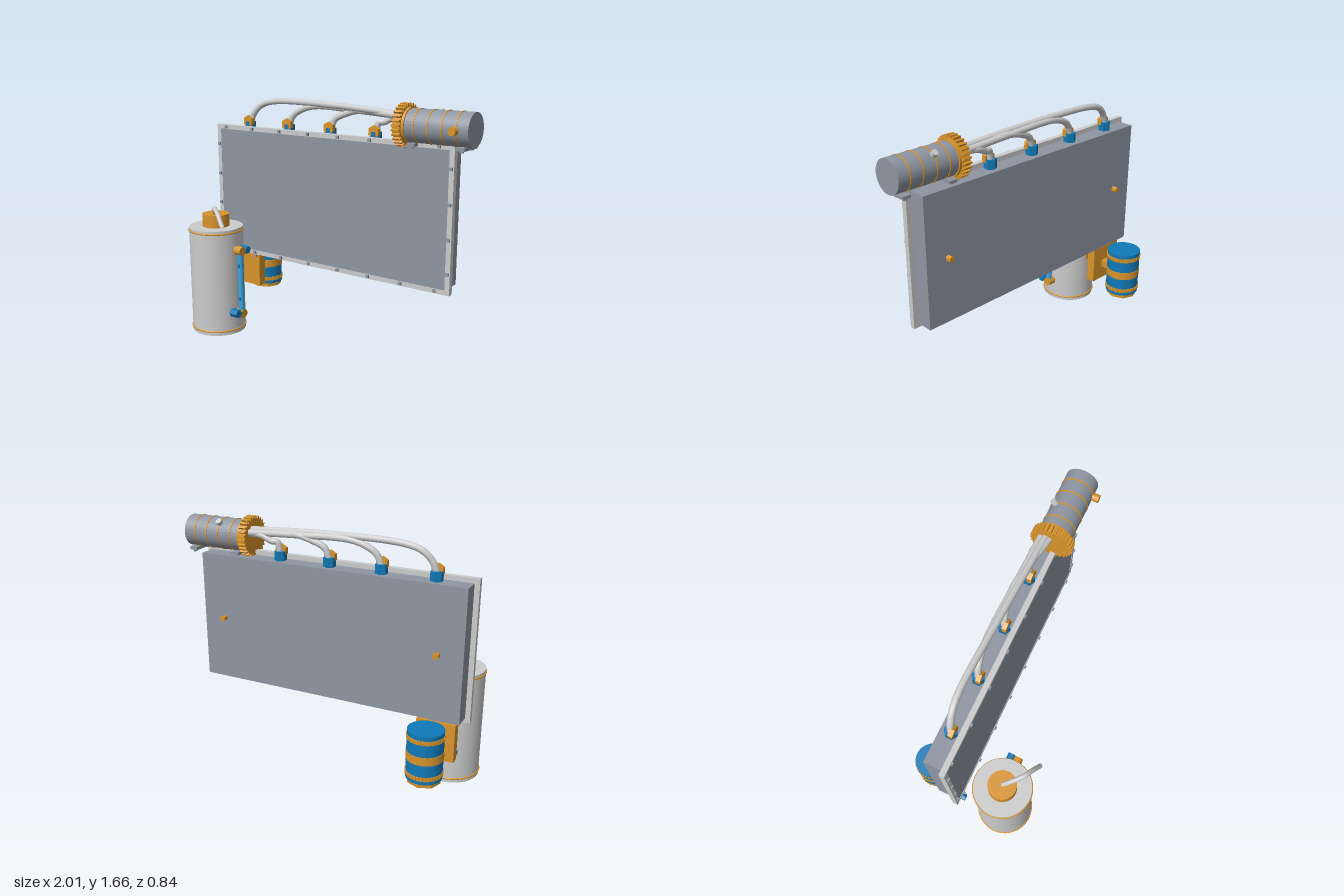
import * as THREE from 'three';

const mat = (color, extra = {}) => new THREE.MeshStandardMaterial({ color, ...extra });
const LIGHT = mat(0xcccccc), DARK = mat(0x8f96a2), ORANGE = mat(0xd8942c);
const BLUE = mat(0x107ab8), GLASS = mat(0x3ca6de), PIPE = mat(0xcccccc, { side: THREE.DoubleSide });

export function createModel() {
  const root = new THREE.Group();

  const add = (parent, name, geo, material, x = 0, y = 0, z = 0) => {
    const m = new THREE.Mesh(geo, material);
    m.name = name;
    m.position.set(x, y, z);
    parent.add(m);
    return m;
  };
  const box = (p, name, material, w, h, d, x, y, z) =>
    add(p, name, new THREE.BoxGeometry(w, h, d), material, x, y, z);
  // Cylinder along a chosen axis; six or eight sides become faceted prisms
  const cyl = (p, name, material, r, len, axis, x, y, z, sides = 40) => {
    const g = sides > 8 ? new THREE.CylinderGeometry(r, r, len, sides)
      : new THREE.CylinderGeometry(r, r, len, sides).toNonIndexed();
    if (sides <= 8) g.computeVertexNormals();
    if (axis === 'x') g.rotateZ(-Math.PI / 2);
    if (axis === 'z') g.rotateX(Math.PI / 2);
    return add(p, name, g, material, x, y, z);
  };
  const tube = (p, name, pts, r) => {
    const curve = new THREE.CatmullRomCurve3(pts.map(a => new THREE.Vector3(...a)));
    return add(p, name, new THREE.TubeGeometry(curve, 48, r, 14), PIPE);
  };
  // Toothed ring plate, extruded along z and centred
  const gear = (rOut, rIn, depth, teeth) => {
    const s = new THREE.Shape();
    for (let i = 0; i < teeth; i++) {
      [[0, rIn], [0.45, rIn], [0.55, rOut], [0.92, rOut]].forEach(([f, r], k) => {
        const a = (i + f) / teeth * Math.PI * 2;
        s[i + k ? 'lineTo' : 'moveTo'](r * Math.cos(a), r * Math.sin(a));
      });
    }
    return new THREE.ExtrudeGeometry(s, { depth, bevelEnabled: false }).translate(0, 0, -depth / 2);
  };
  const group = name => {
    const g = new THREE.Group();
    g.name = name;
    root.add(g);
    return g;
  };

  // Flat panel with its flange frame and bolts
  const panel = group('panel');
  box(panel, 'panelBody', DARK, 1.825, 0.86, 0.147, -0.055, 0.97, -0.0965);
  const frame = new THREE.Shape([[-1, 0.51], [0.89, 0.51], [0.89, 1.43], [-1, 1.43]].map(p => new THREE.Vector2(...p)));
  frame.holes.push(new THREE.Path([[-0.967, 0.54], [-0.967, 1.4], [0.857, 1.4], [0.857, 0.54]].map(p => new THREE.Vector2(...p))));
  add(panel, 'flange', new THREE.ExtrudeGeometry(frame, { depth: 0.035, bevelEnabled: false }), LIGHT, 0, 0, -0.055);
  const bolt = (x, y) => box(panel, 'flangeBolt', DARK, 0.02, 0.02, 0.014, x, y, -0.015);
  for (let i = 0; i < 8; i++) for (const y of [0.527, 1.415]) bolt(-0.912 + i * 0.243, y);
  for (let i = 0; i < 4; i++) for (const x of [-0.982, 0.873]) bolt(x, 0.645 + i * 0.215);
  for (const x of [-0.805, 0.7]) cyl(panel, 'rearKnob', ORANGE, 0.02, 0.04, 'z', x, 0.97, -0.187, 6);

  // Motor with drive gear, bands, stubs and feet
  const motor = group('motor'), my = 1.522, mz = -0.055;
  cyl(motor, 'motorBody', DARK, 0.104, 0.45, 'x', 0.775, my, mz, 48);
  for (const x of [0.645, 0.737, 0.83, 0.92]) cyl(motor, 'motorBand', ORANGE, 0.107, 0.008, 'x', x, my, mz, 48);
  add(motor, 'driveGear', gear(0.135, 0.12, 0.055, 28).rotateY(Math.PI / 2), ORANGE, 0.54, my, mz);
  cyl(motor, 'gearCollar', ORANGE, 0.112, 0.02, 'x', 0.575, my, mz, 48);
  cyl(motor, 'frontStub', ORANGE, 0.025, 0.06, 'z', 0.917, my, 0.06, 20);
  const stub = cyl(motor, 'rearStub', LIGHT, 0.02, 0.05, 'y', 0.735, 1.6, -0.125, 16);
  stub.rotation.x = -0.73;
  for (const x of [0.617, 0.945]) {
    box(motor, 'foot', DARK, 0.055, 0.02, 0.175, x, 1.415, -0.06);
    for (const z of [0.005, -0.13]) cyl(motor, 'footBolt', DARK, 0.013, 0.014, 'y', x, 1.4, z, 6);
  }

  // Four outlets on the panel edge, each with a pipe to the gear
  const pipes = group('pipes');
  const ends = [[1.575, -0.09], [1.56, -0.12], [1.565, -0.065], [1.545, -0.1]];
  ends.forEach(([ey, ez], i) => {
    const x = -0.754 + i * 0.35, span = 0.53 - x, top = [1.605, 1.59, 1.58, 1.553][i];
    const bend = Math.min(0.2, span * 0.5);
    cyl(pipes, 'outletNut', BLUE, 0.04, 0.065, 'y', x, 1.427, -0.1, 6);
    cyl(pipes, 'outletCollar', ORANGE, 0.042, 0.03, 'z', x, 1.46, -0.085, 6);
    tube(pipes, 'pipe', [
      [x, 1.44, -0.1], [x + bend * 0.14, 1.515, -0.108], [x + bend * 0.45, top - 0.03, -0.12],
      [x + bend, top, -0.127], [x + (bend + span) / 2, (top + ey) / 2 + (i ? 0.005 : 0.015), (ez - 0.127) / 2], [0.53, ey, ez],
    ], 0.021);
  });

  // Large tank with cap, rims and spout
  const tank = group('tank'), tx = -0.81, tz = 0.225;
  cyl(tank, 'tankBody', LIGHT, 0.188, 0.755, 'y', tx, 0.3775, tz, 56);
  for (const y of [0.028, 0.733]) {
    const rim = add(tank, 'tankRim', new THREE.TorusGeometry(0.189, 0.006, 8, 56), ORANGE, tx, y, tz);
    rim.rotation.x = Math.PI / 2;
  }
  cyl(tank, 'tankCap', ORANGE, 0.093, 0.09, 'y', tx, 0.797, tz);
  box(tank, 'rearLug', ORANGE, 0.04, 0.075, 0.02, tx, 0.378, 0.043);
  tube(tank, 'spout', [[-0.81, 0.825, 0.22], [-0.765, 0.88, 0.28], [-0.71, 0.908, 0.335], [-0.66, 0.882, 0.36], [-0.595, 0.81, 0.39]], 0.016);

  // Level gauge on the tank side
  const gauge = group('levelGauge');
  cyl(gauge, 'gaugeTube', GLASS, 0.02, 0.46, 'y', -0.588, 0.38, tz, 20);
  for (const [y, hy, hz, r] of [[0.605, 0.605, 0.175, 0.027], [0.152, 0.167, 0.285, 0.03]]) {
    cyl(gauge, 'gaugeFitting', ORANGE, 0.031, 0.07, 'x', -0.6, y, tz, 24);
    cyl(gauge, 'gaugeValve', BLUE, r, 0.065, 'x', -0.593, hy, hz, 6);
    cyl(gauge, 'valveStem', ORANGE, 0.012, Math.abs(hz - tz), 'z', -0.6, (y + hy) / 2, (hz + tz) / 2, 12);
  }
  for (const y of [0.26, 0.5]) box(gauge, 'gaugeClip', BLUE, 0.02, 0.025, 0.042, -0.588, y, tz);

  // Small banded canister behind the panel
  const can = group('canister'), cx = -0.805, cz = -0.302;
  cyl(can, 'canisterBody', BLUE, 0.114, 0.32, 'y', cx, 0.38, cz);
  cyl(can, 'canisterBase', ORANGE, 0.108, 0.03, 'y', cx, 0.208, cz, 8);
  cyl(can, 'middleBand', ORANGE, 0.117, 0.055, 'y', cx, 0.378, cz);
  for (const y of [0.258, 0.5])
    add(can, 'knurledBand', gear(0.119, 0.115, 0.028, 36).rotateX(Math.PI / 2), ORANGE, cx, y, cz);

  // Mounting block between canister and tank
  const block = group('mountingBlock');
  box(block, 'block', ORANGE, 0.255, 0.255, 0.06, -0.807, 0.383, -0.105);
  box(block, 'blockTop', DARK, 0.1, 0.01, 0.035, -0.807, 0.513, -0.102);
  box(block, 'canisterArm', ORANGE, 0.08, 0.05, 0.07, cx, 0.378, -0.16);
  cyl(block, 'blockValve', BLUE, 0.024, 0.05, 'z', -0.905, 0.277, -0.05, 6);
  for (const x of [-0.91, -0.705]) box(block, 'blockBolt', DARK, 0.02, 0.015, 0.02, x, 0.483, -0.065);

  return root;
}
